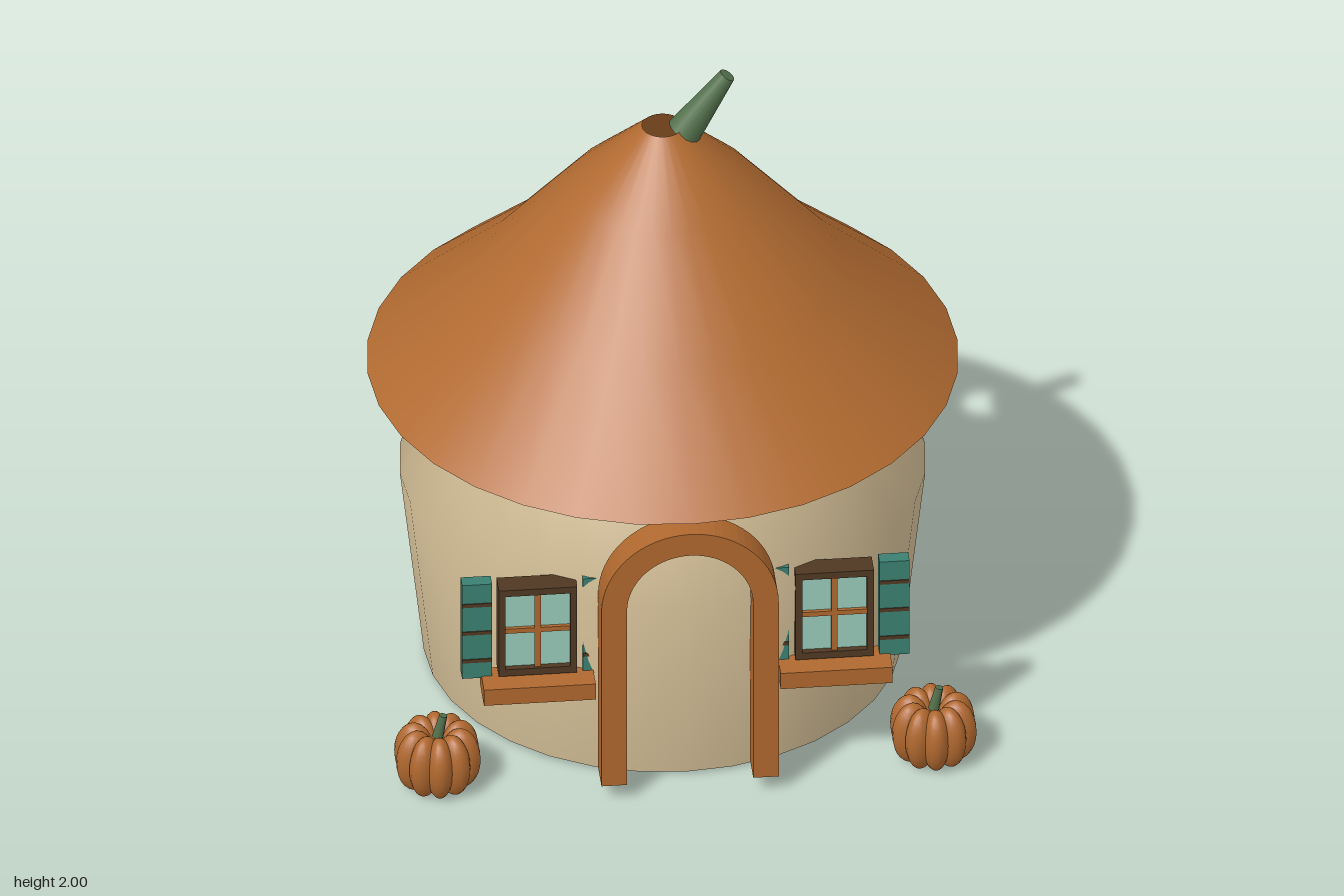
import * as THREE from 'three';

const mat = (name, color, side = THREE.FrontSide) => {
  const m = new THREE.MeshStandardMaterial({ color, side });
  m.name = name;
  return m;
};

export function createModel() {
  const model = new THREE.Group();
  model.name = 'pumpkinCottage';

  const thatch = mat('roofOrange', 0xb26b31, THREE.DoubleSide);
  const plaster = mat('wallCream', 0xd2bd95, THREE.DoubleSide);
  const wood = mat('trimOrange', 0xb0682f);
  const stalk = mat('stemGreen', 0x54714c);
  const paint = mat('shutterTeal', 0x3c8072);
  const glass = mat('paneAqua', 0x98cbba);
  const dark = mat('frameBrown', 0x503822);

  const add = (parent, name, geometry, material, x = 0, y = 0, z = 0) => {
    const mesh = new THREE.Mesh(geometry, material);
    mesh.name = name;
    mesh.position.set(x, y, z);
    parent.add(mesh);
    return mesh;
  };
  // Box given by its limits on each axis
  const box = (parent, name, material, [x0, x1], [y0, y1], [z0, z1]) =>
    add(parent, name, new THREE.BoxGeometry(x1 - x0, y1 - y0, z1 - z0), material,
      (x0 + x1) / 2, (y0 + y1) / 2, (z0 + z1) / 2);
  const lathe = (points) =>
    new THREE.LatheGeometry(points.map(([r, y]) => new THREE.Vector2(r, y)), 32);

  // Open shell of the wall and the hollow conical roof
  add(model, 'wall', lathe([[0.7, 0.01], [0.77, 0.64], [0.59, 1.0]]), plaster);
  add(model, 'roof', lathe([[0.865, 1.0], [0.53, 1.31], [0.27, 1.62], [0.06, 1.82]]), thatch);

  // Leaning stem on the roof
  const low = new THREE.Vector3(0.063, 1.795, 0);
  const high = new THREE.Vector3(0.19, 1.985, 0);
  const dir = high.clone().sub(low);
  const roofStem = add(model, 'roofStem',
    new THREE.CylinderGeometry(0.024, 0.052, dir.length(), 16), stalk);
  roofStem.position.copy(low).add(high).multiplyScalar(0.5);
  roofStem.quaternion.setFromUnitVectors(new THREE.Vector3(0, 1, 0), dir.normalize());

  // Door arch
  const arch = new THREE.Shape();
  arch.moveTo(-0.26, 0.055);
  arch.lineTo(-0.185, 0.055);
  arch.lineTo(-0.185, 0.67);
  arch.absarc(0, 0.67, 0.185, Math.PI, 0, true);
  arch.lineTo(0.185, 0.055);
  arch.lineTo(0.26, 0.055);
  arch.lineTo(0.26, 0.67);
  arch.absarc(0, 0.67, 0.26, 0, Math.PI, false);
  add(model, 'doorArch', new THREE.ExtrudeGeometry(arch,
    { depth: 0.1, bevelEnabled: false, curveSegments: 16 }), wood, 0, 0, 0.716);

  // Windows, with x measured from the centre of each window
  for (const side of [-1, 1]) {
    const win = new THREE.Group();
    win.name = side > 0 ? 'leftWindow' : 'rightWindow';
    win.position.x = side * 0.435;
    model.add(win);

    box(win, 'windowBack', dark, [-0.115, 0.115], [0.387, 0.69], [0.635, 0.68]);
    box(win, 'windowGlass', glass, [-0.095, 0.095], [0.41, 0.668], [0.68, 0.686]);
    for (const s of [-1, 1]) {
      const [a, b] = s > 0 ? [0.095, 0.115] : [-0.115, -0.095];
      box(win, 'frameSide', dark, [a, b], [0.387, 0.69], [0.68, 0.705]);
    }
    box(win, 'frameTop', dark, [-0.095, 0.095], [0.668, 0.69], [0.68, 0.705]);
    box(win, 'frameBottom', dark, [-0.095, 0.095], [0.387, 0.41], [0.68, 0.705]);
    box(win, 'mullionUpright', wood, [-0.009, 0.009], [0.41, 0.668], [0.684, 0.698]);
    box(win, 'mullionCross', wood, [-0.095, 0.095], [0.532, 0.548], [0.684, 0.697]);
    box(win, 'sill', wood, [-0.164, 0.164], [0.325, 0.38], [0.645, 0.76]);

    // Shutters with dark slat gaps
    for (const s of [-1, 1]) {
      const cx = s * 0.177;
      const span = [cx - 0.044, cx + 0.044];
      box(win, 'shutter', paint, span, [0.375, 0.705], [0.645, 0.688]);
      for (const y of [0.437, 0.535, 0.633])
        box(win, 'shutterGap', dark, span, [y - 0.006, y + 0.006], [0.686, 0.691]);
    }
  }

  // Pumpkins made of ten overlapping lobes and a bent stem
  const lobe = new THREE.SphereGeometry(1, 16, 14).scale(0.06, 0.1, 0.042);
  const stem = new THREE.CylinderGeometry(0.012, 0.017, 0.075, 8);
  for (const side of [-1, 1]) {
    const pumpkin = new THREE.Group();
    pumpkin.name = side > 0 ? 'leftPumpkin' : 'rightPumpkin';
    pumpkin.position.set(side * 0.727, 0.102, 0.675);
    model.add(pumpkin);
    for (let i = 0; i < 10; i++) {
      const a = ((i + 0.5) / 10) * Math.PI * 2;
      add(pumpkin, 'lobe', lobe, wood, Math.cos(a) * 0.069, 0, -Math.sin(a) * 0.069).rotation.y = a;
    }
    add(pumpkin, 'pumpkinStem', stem, stalk, 0.009, 0.102, 0).rotation.z = -0.22;
  }

  return model;
}
